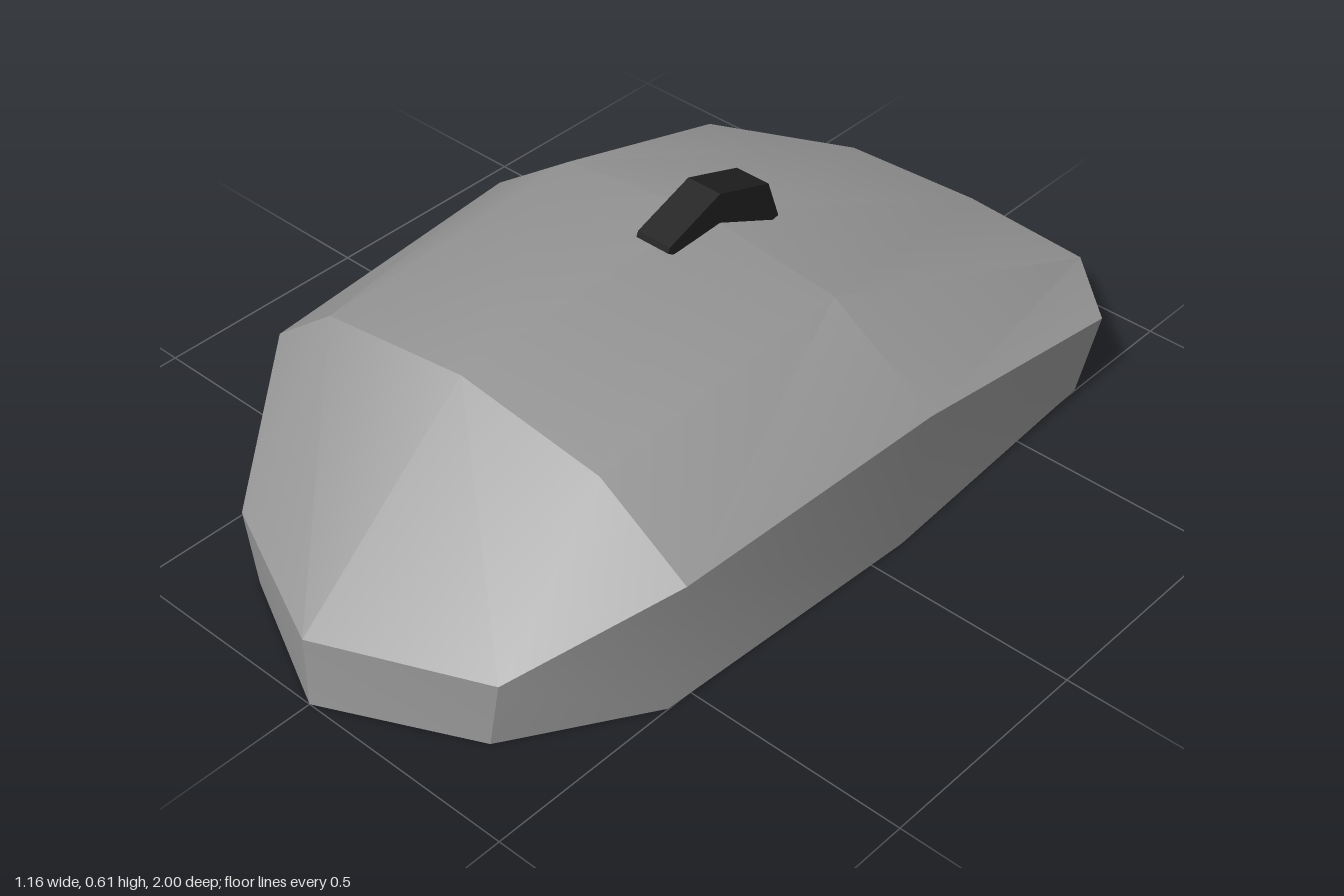
import * as THREE from 'three';
import { toCreasedNormals } from 'three/addons/utils/BufferGeometryUtils.js';

const bodyGray = new THREE.MeshStandardMaterial({ color: 0x999999 });
bodyGray.name = 'bodyGray';
const wheelBlack = new THREE.MeshStandardMaterial({ color: 0x202020 });
wheelBlack.name = 'wheelBlack';

// Cross-sections of the upper shell, nose to tail, each from -x to +x
const rows = [
  [[-0.35, 0.165, 0.845], [-0.35, 0.165, 0.845], [0, 0.165, 1], [0.35, 0.165, 0.845], [0.35, 0.165, 0.845]],
  [[-0.545, 0.335, 0.56], [-0.37, 0.475, 0.57], [0, 0.53, 0.575], [0.345, 0.482, 0.57], [0.545, 0.335, 0.56]],
  [[-0.582, 0.353, -0.09], [-0.37, 0.503, -0.09], [0, 0.55, -0.09], [0.335, 0.512, -0.09], [0.582, 0.353, -0.09]],
  [[-0.545, 0.215, -0.72], [-0.32, 0.128, -0.97], [0, 0.12, -1], [0.32, 0.128, -0.97], [0.545, 0.215, -0.72]],
];

// Geometry from flat polygons, each split into a fan and creased at sharp edges
function fromPolygons(polygons) {
  const positions = [];
  for (const p of polygons) {
    for (let i = 1; i < p.length - 1; i++) {
      if (p[i] === p[i + 1] || p[i].every((v, k) => v === p[i + 1][k])) continue;
      positions.push(...p[0], ...p[i], ...p[i + 1]);
    }
  }
  const geometry = new THREE.BufferGeometry();
  geometry.setAttribute('position', new THREE.Float32BufferAttribute(positions, 3));
  return toCreasedNormals(geometry, 0.52);
}

function createBody() {
  const polygons = [];

  // Upper shell
  for (let r = 0; r < 3; r++) {
    for (let c = 0; c < 4; c++) {
      polygons.push([rows[r + 1][c], rows[r][c], rows[r][c + 1], rows[r + 1][c + 1]]);
    }
  }

  // Rim runs from the nose along +x to the tail and back along -x
  const [nose, front, middle, back] = rows;
  const rim = [
    nose[2], nose[3], front[4], middle[4], back[4], back[3],
    back[2], back[1], back[0], middle[0], front[0], nose[1],
  ];
  const base = rim.map(([x, , z]) => [x * 0.915, 0, z]);

  // Side walls, tapering in towards the base
  rim.forEach((p, i) => {
    const j = (i + 1) % rim.length;
    polygons.push([p, base[i], base[j], rim[j]]);
  });

  // Flat underside
  polygons.push([...base].reverse());

  const mesh = new THREE.Mesh(fromPolygons(polygons), bodyGray);
  mesh.name = 'body';
  return mesh;
}

function createWheel() {
  // Side profile as (z, y) points, extruded across x
  const profile = [
    [0.06, 0.55], [0.055, 0.562], [-0.09, 0.614], [-0.235, 0.565],
    [-0.268, 0.472], [-0.2, 0.46], [0, 0.51],
  ];
  const shape = new THREE.Shape(profile.map(([z, y]) => new THREE.Vector2(z, y)));
  const geometry = new THREE.ExtrudeGeometry(shape, { depth: 0.084, bevelEnabled: false });
  geometry.rotateY(-Math.PI / 2).translate(0.042, 0, 0);
  const mesh = new THREE.Mesh(geometry, wheelBlack);
  mesh.name = 'scrollWheel';
  return mesh;
}

export function createModel() {
  const group = new THREE.Group();
  group.name = 'computerMouse';
  group.add(createBody(), createWheel());
  return group;
}
